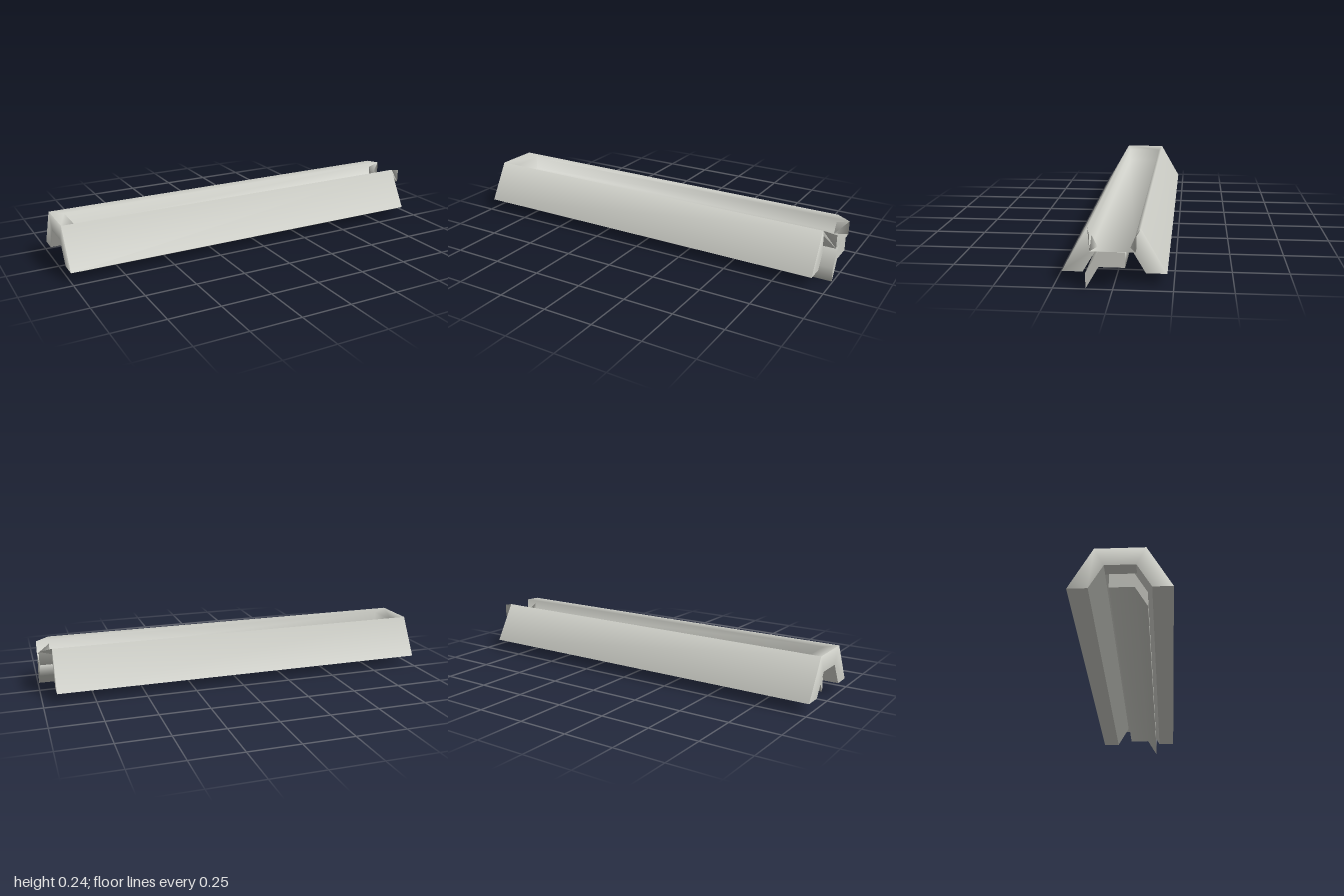
import * as THREE from 'three';

// Mesh from points and polygon faces. Smooth faces share normals; flat faces
// are creased; soft faces blend their own normal with the shared ones.
function build(name, points, { smooth, flat, soft = [] }, material) {
  const pts = points.map((p) => new THREE.Vector3(...p));
  const faceNormal = ([a, b, c]) => pts[b].clone().sub(pts[a])
    .cross(pts[c].clone().sub(pts[a])).normalize();
  const shared = pts.map(() => new THREE.Vector3());
  for (const f of smooth) {
    const n = faceNormal(f);
    f.forEach((i) => shared[i].add(n));
  }
  shared.forEach((n) => n.normalize());

  const position = [], normal = [];
  const addFaces = (faces, own, blend) => {
    for (const f of faces) {
      const n = faceNormal(f);
      for (let k = 1; k < f.length - 1; k++) {
        for (const i of [f[0], f[k], f[k + 1]]) {
          const v = n.clone().multiplyScalar(own).addScaledVector(shared[i], blend).normalize();
          position.push(...pts[i].toArray());
          normal.push(...v.toArray());
        }
      }
    }
  };
  addFaces(smooth, 0, 1);
  addFaces(flat, 1, 0);
  addFaces(soft, 1, 2);

  const g = new THREE.BufferGeometry();
  g.setAttribute('position', new THREE.Float32BufferAttribute(position, 3));
  g.setAttribute('normal', new THREE.Float32BufferAttribute(normal, 3));
  const mesh = new THREE.Mesh(g, material);
  mesh.name = name;
  return mesh;
}

// Channel: two sloped rails joined by a cap at the -x end and a thin trough floor
function channel(material) {
  const L = -1, Li = -0.93, R = 0.932, Ri = 0.995;
  const half = [
    [L, 0.053, 0.222], [L, 0.247, 0.111], [L, 0.163, 0.068], [L, 0.053, 0.133],
    [Li, 0.232, 0.094], [Li, 0.164, 0.094], [Li, 0.163, 0.068],
    [R, 0.053, 0.222], [R, 0.247, 0.111],
    [Ri, 0.232, 0.094], [Ri, 0.164, 0.094],
    [R, 0.163, 0.068], [R, 0.053, 0.133],
  ];
  const n = half.length;
  const points = [...half, ...half.map(([x, y, z]) => [x, y, -z])];
  const both = (faces) => [...faces, ...faces.map((f) => f.map((i) => i + n).reverse())];

  const smooth = [
    ...both([
      [0, 7, 8, 1],         // outer slope
      [1, 8, 9, 4],         // top rim
      [4, 9, 10, 5],        // inner wall
    ]),
    [1, 4, 4 + n, 1 + n],   // cap top
    [4, 5, 5 + n, 4 + n],   // trough end wall
    [5, 10, 10 + n, 5 + n], // trough floor
  ];
  const flat = [
    ...both([
      [3, 2, 11, 12],       // inner slope
      [0, 3, 12, 7],        // foot
    ]),
    [2, 2 + n, 6 + n, 6],   // cap underside
  ];
  const soft = [
    ...both([
      [7, 12, 11, 8],       // leg at the open end
      [8, 11, 10, 9],       // tapered tip of the inner wall
      [0, 1, 2, 3],         // leg at the closed end
    ]),
    [1, 1 + n, 2 + n, 2],   // cap end
  ];
  return build('channel', points, { smooth, flat, soft }, material);
}

// Insert: bar under the trough with one sloping fin, from a (z, y) section
function insert(material) {
  const section = [
    [-0.052, 0.163], [-0.052, 0.097], [0.058, 0.097],
    [0.113, 0.002], [0.113, 0.07], [0.058, 0.163],
  ];
  const n = section.length;
  const ring = (x) => section.map(([z, y]) => [x, y, z]);
  const smooth = section.map((_, i) => {
    const j = (i + 1) % n;
    return [i, i + n, j + n, j];
  });
  const ends = [[0, 1, 2, 5], [2, 3, 4, 5]];
  const flat = [...ends, ...ends.map((f) => f.map((i) => i + n).reverse())];
  return build('insert', [...ring(-0.93), ...ring(0.995)], { smooth, flat }, material);
}

export function createModel() {
  const paleGrey = new THREE.MeshStandardMaterial({ color: 0xcbccc5, side: THREE.DoubleSide });
  paleGrey.name = 'paleGrey';
  const model = new THREE.Group();
  model.name = 'channelRail';
  model.add(channel(paleGrey), insert(paleGrey));
  return model;
}
